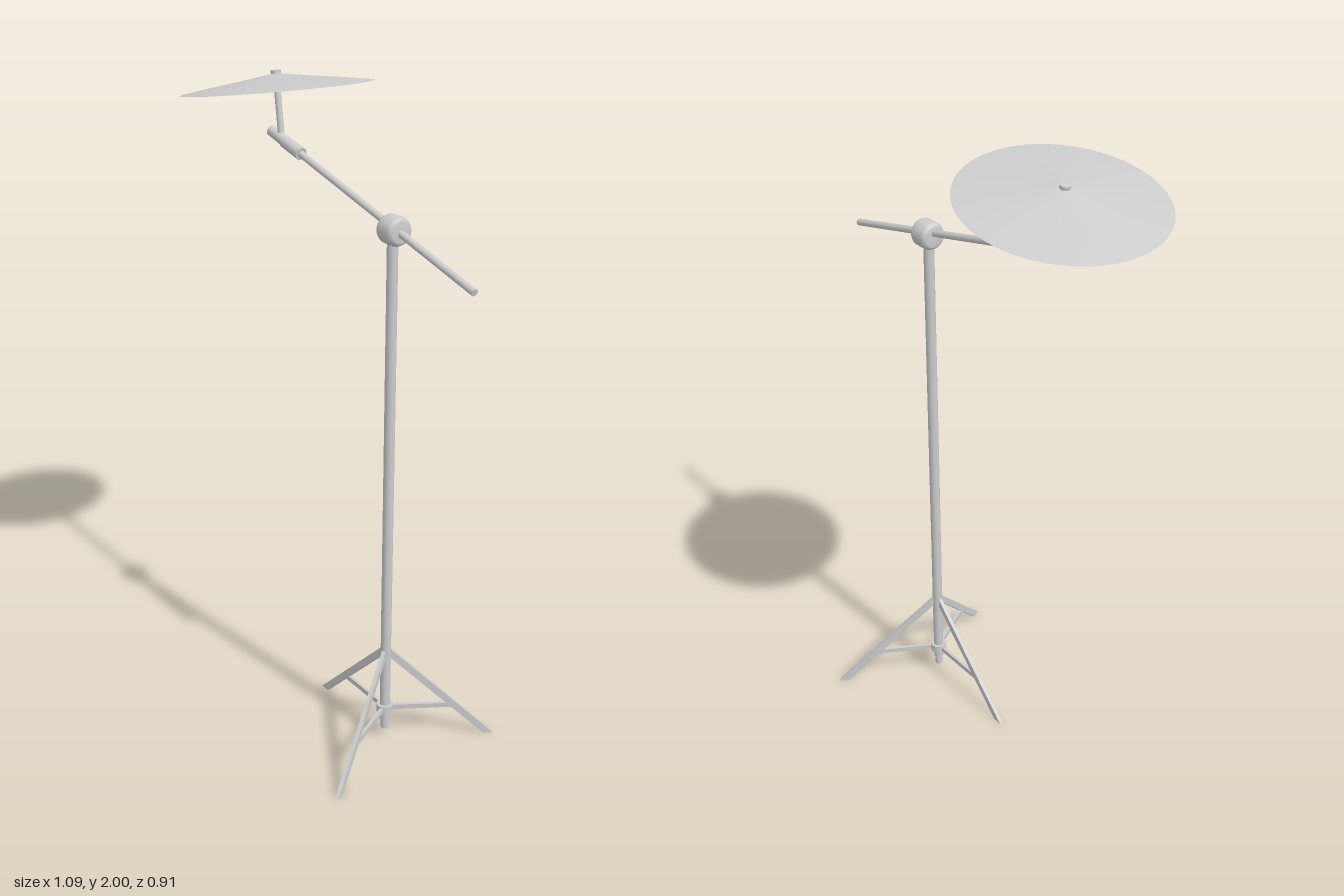
import * as THREE from 'three';

const material = new THREE.MeshStandardMaterial({ color: 0xcccccc, roughness: 0.6 });
const thin = new THREE.MeshStandardMaterial({ color: 0xcccccc, roughness: 0.6, side: THREE.DoubleSide });
const UP = new THREE.Vector3(0, 1, 0);
const v = (x, y, z) => new THREE.Vector3(x, y, z);

function part(name, geometry, mat = material) {
  const mesh = new THREE.Mesh(geometry, mat);
  mesh.name = name;
  return mesh;
}

// Round rod between two points
function rod(name, a, b, radius, sides = 20) {
  const mesh = part(name, new THREE.CylinderGeometry(radius, radius, a.distanceTo(b), sides));
  mesh.position.copy(a).lerp(b, 0.5);
  mesh.quaternion.setFromUnitVectors(UP, b.clone().sub(a).normalize());
  return mesh;
}

function lathe(name, points, sides, mat) {
  return part(name, new THREE.LatheGeometry(points.map(([r, y]) => new THREE.Vector2(r, y)), sides), mat);
}

export function createModel() {
  const model = new THREE.Group();
  model.name = 'cymbalStand';
  const px = 0.235, pz = 0.108;

  // Upright pole with a narrower foot and the brace collar
  model.add(rod('pole', v(px, 0.07, pz), v(px, 1.64, pz), 0.016));
  model.add(rod('poleFoot', v(px, 0.037, pz), v(px, 0.075, pz), 0.0125));
  model.add(rod('braceCollar', v(px, 0.098, pz), v(px, 0.124, pz), 0.026));

  // Three flat legs, cut level at the floor, each with a horizontal brace
  const profile = new THREE.Shape();
  profile.moveTo(0, 0.338);
  profile.lineTo(0, 0.307);
  profile.lineTo(0.314, 0);
  profile.lineTo(0.345, 0);
  profile.closePath();
  const legGeometry = new THREE.ExtrudeGeometry(profile, { depth: 0.012, bevelEnabled: false });
  legGeometry.translate(0, 0, -0.006);
  const braceGeometry = new THREE.BoxGeometry(0.225, 0.016, 0.01);
  braceGeometry.translate(0.1125, 0.111, 0);
  for (let i = 0; i < 3; i++) {
    const leg = new THREE.Group();
    leg.name = 'tripodLeg' + (i + 1);
    leg.add(part('leg', legGeometry), part('brace', braceGeometry));
    leg.position.set(px, 0, pz);
    leg.rotation.y = -Math.PI / 2 + (i * Math.PI * 2) / 3;
    model.add(leg);
  }

  // Boom arm sloping up to the cymbal, with a stepped sleeve at its high end
  const low = v(0.54, 1.572, 0.277), high = v(-0.293, 1.815, -0.188);
  const along = (t) => low.clone().lerp(high, t);
  model.add(rod('boom', along(0), along(0.95), 0.0105));
  model.add(rod('boomSleeve', along(0.835), along(0.925), 0.019));
  model.add(rod('boomEnd', along(0.9), along(1), 0.0165));

  // Rounded clamp on top of the pole, its axis following the boom
  const clamp = lathe('boomClamp', [
    [0, -0.034], [0.029, -0.034], [0.037, -0.03], [0.042, -0.02],
    [0.042, 0.02], [0.037, 0.03], [0.029, 0.034], [0, 0.034],
  ], 28);
  const axis = high.clone().sub(low).setY(0).normalize();
  clamp.quaternion.setFromUnitVectors(UP, axis);
  clamp.position.set(px + 0.003, 1.655, pz);
  model.add(clamp);

  // Tilted cymbal: a shallow flared cone on its post
  const cymbal = new THREE.Group();
  cymbal.name = 'cymbalAssembly';
  cymbal.add(lathe('cymbal', [
    [0.287, 0], [0.23, 0.009], [0.17, 0.0175], [0.11, 0.0255],
    [0.06, 0.033], [0.03, 0.038], [0.012, 0.041], [0, 0.0415],
  ], 64, thin));
  cymbal.add(rod('cymbalPost', v(0, -0.13, 0), v(0, 0.046, 0), 0.01));
  cymbal.add(rod('postCap', v(0, 0.036, 0), v(0, 0.051, 0), 0.015));
  cymbal.position.set(-0.264, 1.947, -0.173);
  cymbal.quaternion.setFromUnitVectors(UP, v(-0.14, 1, -0.1).normalize());
  model.add(cymbal);

  return model;
}
